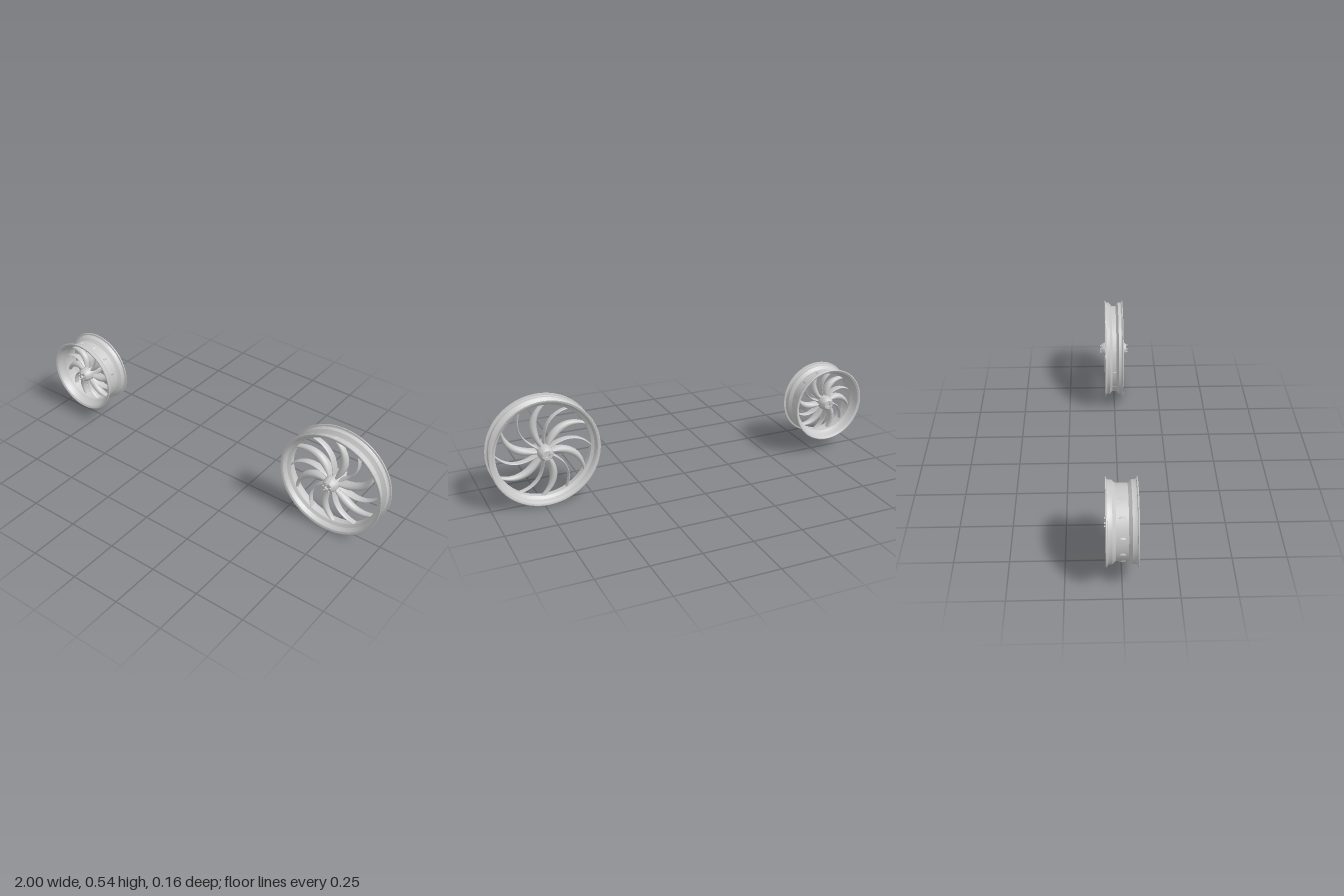
import * as THREE from 'three';
import { toCreasedNormals } from 'three/addons/utils/BufferGeometryUtils.js';

const metal = new THREE.MeshStandardMaterial({ color: 0xc8c8c8 });
metal.name = 'satin metal';

// Ring or solid turned around the z axis from [radius, z] points
function turned(points, segments, name) {
  const geo = new THREE.LatheGeometry(points.map(([r, z]) => new THREE.Vector2(r, z)), segments);
  geo.rotateX(Math.PI / 2);
  const mesh = new THREE.Mesh(toCreasedNormals(geo, 0.5), metal);
  mesh.name = name;
  return mesh;
}

// Mirrors a half profile (z from outside to centre) into a full one, ascending in z
function mirrored(half) {
  const back = half.map(([r, z]) => [r, -z]);
  return [...back, ...half.slice().reverse()];
}

// Curved spoke with an elliptical section, swept from hub to rim
function spokeGeometry({ r0, r1, sweep, width, rootDepth, tipDepth, crescent }) {
  const rows = 20, sides = 14, pos = [], index = [];
  const path = (t) => {
    const r = r0 + (r1 - r0) * t;
    const a = sweep * t * t;
    return new THREE.Vector2(r * Math.cos(a), r * Math.sin(a));
  };
  for (let i = 0; i <= rows; i++) {
    const t = i / rows;
    const p = path(t);
    const dir = path(t + 0.01).sub(path(t - 0.01)).normalize();
    const swell = crescent ? 0.3 + 0.7 * Math.sin(Math.PI * Math.pow(t, 0.85)) : 1;
    const w = width * swell / 2;
    const d = rootDepth + (tipDepth - rootDepth) * t;
    for (let j = 0; j < sides; j++) {
      const a = j / sides * Math.PI * 2;
      const n = Math.cos(a) * w;
      pos.push(p.x - dir.y * n, p.y + dir.x * n, Math.sin(a) * d);
    }
  }
  for (let i = 0; i < rows; i++) {
    for (let j = 0; j < sides; j++) {
      const a = i * sides + j, d = i * sides + (j + 1) % sides;
      const b = a + sides, c = d + sides;
      index.push(a, c, b, a, d, c);
    }
  }
  const geo = new THREE.BufferGeometry();
  geo.setAttribute('position', new THREE.Float32BufferAttribute(pos, 3));
  geo.setIndex(index);
  geo.computeVertexNormals();
  return geo;
}

function makeWheel(name, o) {
  const wheel = new THREE.Group();
  wheel.name = name;

  // Rim: outer tyre channel, then the inside face back to the start
  const outer = mirrored(o.outer);
  const inner = mirrored(o.inner).reverse();
  wheel.add(turned([...outer, ...inner, outer[0]], 96, 'rim'));

  // Hub with tapered ends and a shallow axle bore
  const hz = o.hubZ;
  wheel.add(turned(mirrored([
    [0, hz - 0.012], [0.011, hz - 0.012], [0.011, hz], [0.024, hz],
    [0.027, hz - 0.003], [0.035, hz - 0.02], [0.037, hz - 0.03]
  ]), 40, 'hub'));

  // Bolt circles on both hub faces
  const boltGeo = new THREE.CylinderGeometry(0.0035, 0.0035, 0.012, 10).rotateX(Math.PI / 2);
  for (const side of [1, -1]) {
    for (let i = 0; i < 5; i++) {
      const a = Math.PI / 2 + i * Math.PI * 2 / 5;
      const bolt = new THREE.Mesh(boltGeo, metal);
      bolt.name = 'hubBolt';
      bolt.position.set(Math.cos(a) * 0.02, Math.sin(a) * 0.02, side * (hz + 0.002));
      wheel.add(bolt);
    }
  }

  // Alternating wide blades and thin fins
  const base = { r0: 0.025, r1: o.spokeEnd, sweep: 0.55 };
  const blade = spokeGeometry({ ...base, width: o.bladeWidth, rootDepth: 0.03, tipDepth: 0.014, crescent: true });
  const fin = spokeGeometry({ ...base, width: 0.008, rootDepth: 0.024, tipDepth: 0.014, crescent: false });
  for (let i = 0; i < 12; i++) {
    const spoke = new THREE.Mesh(i % 2 ? fin : blade, metal);
    spoke.name = i % 2 ? 'thinSpoke' : 'bladeSpoke';
    spoke.rotation.z = o.phase + i * Math.PI / 6;
    wheel.add(spoke);
  }
  wheel.position.set(o.x, o.y, 0);
  return wheel;
}

export function createModel() {
  const model = new THREE.Group();
  model.name = 'wheelPair';

  // Tall narrow front wheel
  model.add(makeWheel('frontWheel', {
    x: 0.73, y: 0.272, hubZ: 0.07, spokeEnd: 0.238, bladeWidth: 0.037, phase: 1.1,
    outer: [[0.267, 0.05], [0.27, 0.048], [0.269, 0.045], [0.26, 0.043], [0.257, 0.038],
      [0.257, 0.024], [0.252, 0.021], [0.239, 0.011]],
    inner: [[0.265, 0.05], [0.256, 0.046], [0.25, 0.036], [0.247, 0.024], [0.233, 0.014]]
  }));

  // Small wide rear wheel
  model.add(makeWheel('rearWheel', {
    x: -0.805, y: 0.268, hubZ: 0.068, spokeEnd: 0.168, bladeWidth: 0.034, phase: 0.8,
    outer: [[0.192, 0.071], [0.195, 0.069], [0.194, 0.065], [0.185, 0.063], [0.182, 0.057],
      [0.181, 0.042], [0.177, 0.038], [0.167, 0.027]],
    inner: [[0.19, 0.071], [0.181, 0.066], [0.176, 0.055], [0.172, 0.04], [0.161, 0.026]]
  }));
  return model;
}
